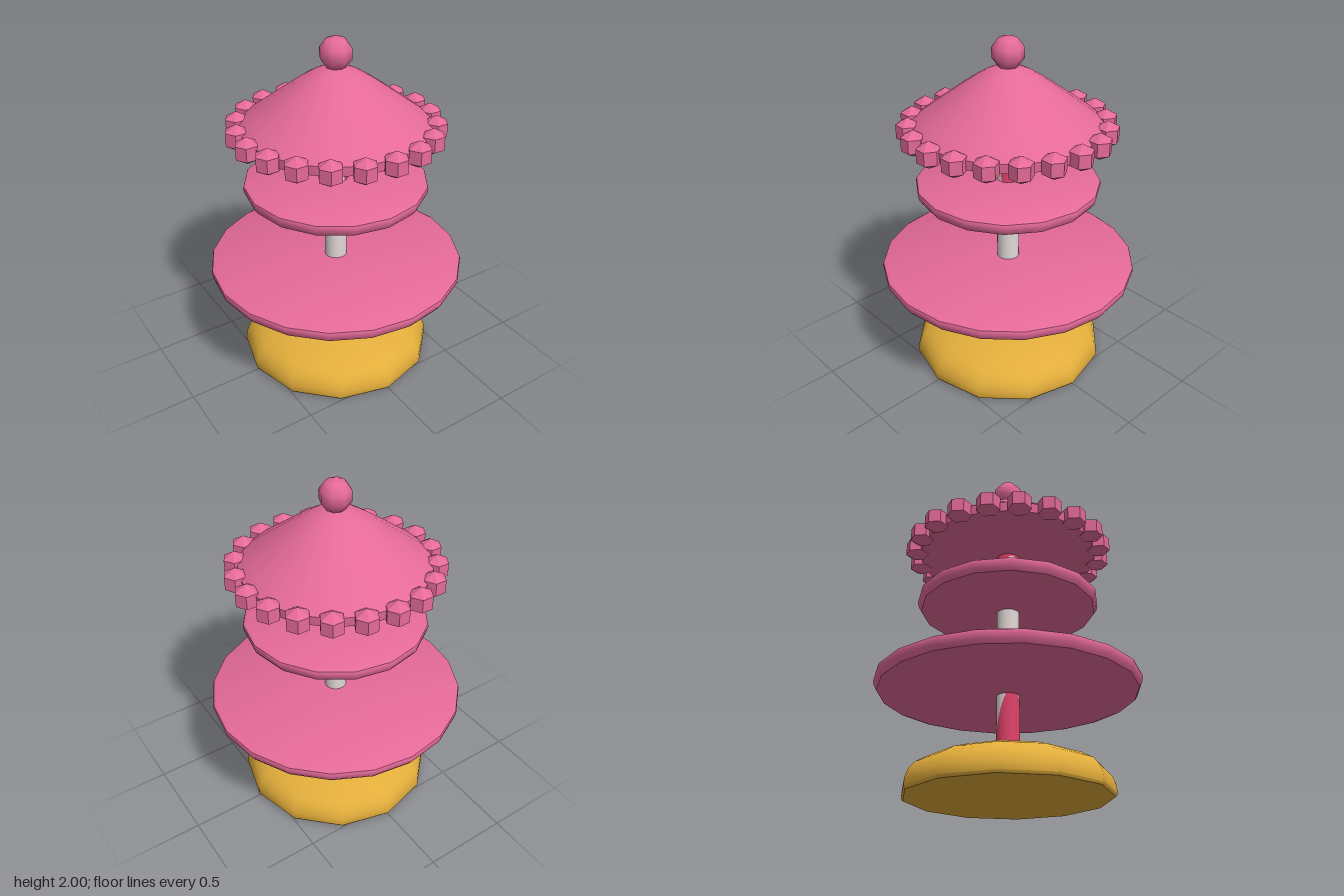
import * as THREE from 'three';
import { toCreasedNormals } from 'three/addons/utils/BufferGeometryUtils.js';

const material = (name, color, extra = {}) => {
  const m = new THREE.MeshStandardMaterial({ color, ...extra });
  m.name = name;
  return m;
};

export function createModel() {
  const group = new THREE.Group();
  const pink = material('pink', 0xe56a98);
  const pinkFaceted = pink;
  const gold = material('gold', 0xe2ad3b);
  const white = material('white', 0xe2d8d6);
  const red = material('red', 0xe0436a);

  const add = (name, geometry, mat, y = 0, parent = group) => {
    const mesh = new THREE.Mesh(geometry, mat);
    mesh.name = name;
    mesh.position.y = y;
    parent.add(mesh);
    return mesh;
  };
  // Turned solid from a [radius, height] profile listed from bottom to top
  const turned = (profile, sides) => toCreasedNormals(
    new THREE.LatheGeometry(profile.map(([r, y]) => new THREE.Vector2(r, y)), sides), 0.65);

  // Domed base
  add('base', turned([
    [0, 0], [0.565, 0], [0.575, 0.015], [0.572, 0.06], [0.555, 0.105], [0.52, 0.145],
    [0.46, 0.18], [0.36, 0.215], [0.25, 0.24], [0.18, 0.25], [0, 0.25]], 12), gold);

  // Round trays with softened rims
  const tray = (name, r, y, sides) => add(name, turned([
    [0, 0], [r - 0.05, 0], [r - 0.022, 0.009], [r - 0.007, 0.032], [r, 0.062],
    [r - 0.004, 0.076], [r - 0.02, 0.085], [0, 0.085]], sides), pink, y);
  tray('lowerTray', 0.75, 0.57, 20);
  tray('upperTray', 0.53, 1.085, 16);

  // Pole with two red painted areas whose edges slant around it
  const R = 0.065;
  const pole = new THREE.Group();
  pole.name = 'pole';
  group.add(pole);
  add('poleCore', new THREE.CylinderGeometry(R, R, 1.26, 24), white, 0.85, pole);
  const paint = (name, low, high) => {
    const g = new THREE.CylinderGeometry(R + 0.0015, R + 0.0015, 1, 24, 1, true);
    const p = g.attributes.position;
    for (let i = 0; i < p.count; i++) {
      const c = p.getX(i) / R;
      p.setY(i, p.getY(i) > 0 ? high(c) : low(c));
    }
    add(name, g, red, 0, pole);
  };
  paint('upperPaint', c => 1.27 - (c > 0 ? 0.35 : 0.17) * c, () => 1.475);
  paint('lowerPaint', () => 0.24, c => Math.max(0.241, 0.38 - 0.22 * c));

  // Conical roof with a rounded peak
  add('roof', turned([
    [0, 1.455], [0.53, 1.455], [0.535, 1.51], [0.47, 1.56], [0.27, 1.707], [0.2, 1.757],
    [0.13, 1.8], [0.07, 1.827], [0.03, 1.835], [0, 1.836]], 20), pink);

  // Ring of faceted beads around the eave
  const beads = new THREE.Group();
  beads.name = 'beads';
  group.add(beads);
  const beadGeometry = toCreasedNormals(new THREE.SphereGeometry(0.077, 6, 3), 0.1);
  for (let i = 0; i < 20; i++) {
    const a = i * Math.PI / 10;
    const bead = add('bead', beadGeometry, pinkFaceted, 1.488, beads);
    bead.position.x = 0.548 * Math.cos(a);
    bead.position.z = 0.548 * Math.sin(a);
  }

  // Ball on the peak
  add('finial', new THREE.SphereGeometry(0.093, 8, 5), pink, 1.907);
  return group;
}
